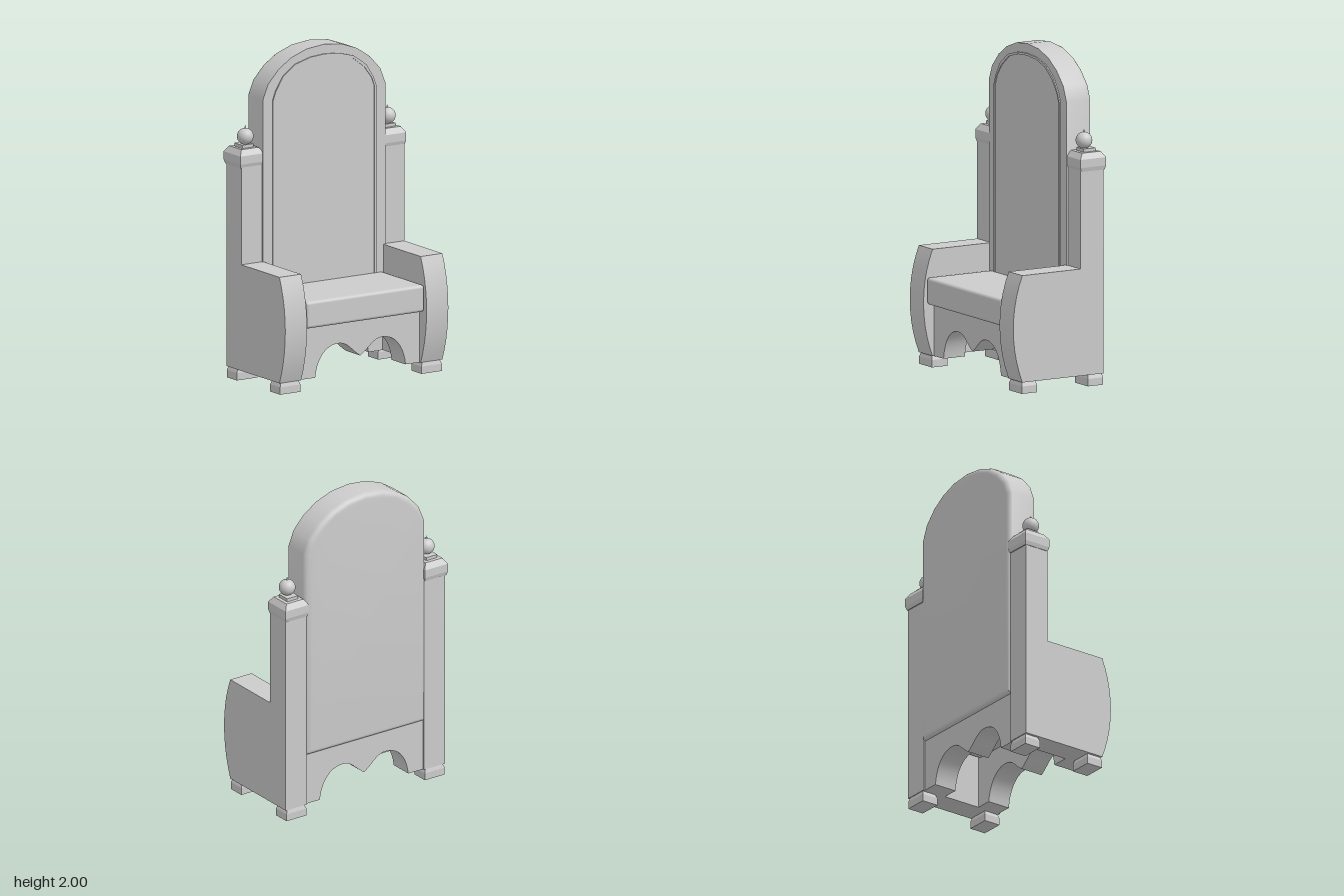
import * as THREE from 'three';
import { toCreasedNormals } from 'three/addons/utils/BufferGeometryUtils.js';
import { RoundedBoxGeometry } from 'three/addons/geometries/RoundedBoxGeometry.js';

const material = new THREE.MeshStandardMaterial({ color: 0xcccccc });

function part(parent, name, geometry, x = 0, y = 0, z = 0) {
  const mesh = new THREE.Mesh(geometry, material);
  mesh.name = name;
  mesh.position.set(x, y, z);
  parent.add(mesh);
  return mesh;
}

// Extrude a shape along z from z0 to z1 with sharp edges
function slab(shape, z0, z1) {
  const g = new THREE.ExtrudeGeometry(shape, { depth: z1 - z0, bevelEnabled: false, curveSegments: 10 });
  return toCreasedNormals(g.translate(0, 0, z0), 0.5);
}

// Square turned block from [halfWidth, y] levels
function squareLathe(levels, depthRatio = 1) {
  const g = new THREE.LatheGeometry(levels.map(([r, y]) => new THREE.Vector2(r * Math.SQRT2, y)), 4);
  return toCreasedNormals(g.rotateY(Math.PI / 4).scale(1, 1, depthRatio), 0.1);
}

// Mirror a half outline of [x, y] points (bottom to apex) into a closed loop
function arch(half) {
  const right = half.map(([x, y]) => new THREE.Vector2(x, y));
  const left = half.slice(0, -1).reverse().map(([x, y]) => new THREE.Vector2(-x, y));
  return [...right, ...left];
}

// Board with a double scalloped cut in its lower edge
function apronShape(top) {
  const s = new THREE.Shape();
  s.moveTo(-0.44, 0.07);
  s.lineTo(-0.325, 0.07);
  s.bezierCurveTo(-0.31, 0.2, -0.24, 0.26, -0.16, 0.26);
  s.bezierCurveTo(-0.09, 0.26, -0.07, 0.21, 0, 0.165);
  s.bezierCurveTo(0.07, 0.21, 0.09, 0.26, 0.16, 0.26);
  s.bezierCurveTo(0.24, 0.26, 0.31, 0.2, 0.325, 0.07);
  s.lineTo(0.44, 0.07);
  s.lineTo(0.44, top);
  s.lineTo(-0.44, top);
  return s;
}

// Tall arched back: sharp front edge, rounded rear edge
function backGeometry() {
  const r = 0.035, front = -0.14, rear = -0.322;
  const half = [[0.44, 0.39], [0.44, 1.74], [0.405, 1.82], [0.33, 1.895], [0.24, 1.95], [0.13, 1.987], [0, 2]];
  const outline = arch(half.map(([x, y]) => [x * (1 - r / 0.44), y === 0.39 ? y + r : y - r]));
  const g = new THREE.ExtrudeGeometry(new THREE.Shape(outline), {
    depth: front - rear - r, bevelSize: r, bevelThickness: r, bevelSegments: 5,
  });
  g.translate(0, 0, rear + r);
  const p = g.attributes.position;
  for (let i = 0; i < p.count; i++) p.setZ(i, Math.min(p.getZ(i), front));
  return toCreasedNormals(g, 0.5);
}

export function createModel() {
  const chair = new THREE.Group();
  chair.name = 'throneChair';

  part(chair, 'archedBack', backGeometry());

  // Inset panel and its raised bead
  const inset = (d) => arch([[0.372 - d, 0.45], [0.372 - d, 1.7], [0.352 - d, 1.755], [0.3 - d, 1.84 - d],
    [0.21 - d / 2, 1.905 - d], [0.1, 1.935 - d], [0, 1.942 - d]]);
  part(chair, 'backPanel', slab(new THREE.Shape(inset(0.01)), -0.145, -0.137));
  const bead = new THREE.Shape(inset(0));
  bead.holes.push(new THREE.Path(inset(0.014)));
  part(chair, 'panelBead', slab(bead, -0.145, -0.132));

  // Seat and scalloped aprons
  part(chair, 'seatCushion', new RoundedBoxGeometry(0.85, 0.165, 0.46, 4, 0.02), 0, 0.4725, 0.08);
  part(chair, 'frontApron', slab(apronShape(0.42), 0.1, 0.25));
  part(chair, 'rearApron', slab(apronShape(0.45), -0.3, -0.15));

  // Arm side profile, drawn with z along the shape's x axis
  const armShape = new THREE.Shape();
  armShape.moveTo(-0.16, 0.07);
  armShape.lineTo(0.26, 0.07);
  armShape.bezierCurveTo(0.345, 0.28, 0.345, 0.52, 0.26, 0.72);
  armShape.lineTo(-0.16, 0.72);

  for (const side of [1, -1]) {
    const group = new THREE.Group();
    group.name = side > 0 ? 'leftSide' : 'rightSide';
    group.position.x = side * 0.508 - 0.003;
    chair.add(group);

    part(group, 'arm', slab(armShape, -0.078, 0.078).rotateY(-Math.PI / 2));
    part(group, 'rearPost', new THREE.BoxGeometry(0.156, 1.27, 0.16), 0, 0.705, -0.23);
    part(group, 'postCap', squareLathe([[0, 1.31], [0.078, 1.31], [0.085, 1.335], [0.085, 1.385],
      [0.062, 1.42], [0.04, 1.42], [0.04, 1.44], [0, 1.44]], 1.06), side * 0.003, 0, -0.234);

    // Ball finial with a small tip
    part(group, 'finialBall', new THREE.SphereGeometry(0.05, 24, 16), side * 0.003, 1.486, -0.22);
    part(group, 'finialTip', new THREE.ConeGeometry(0.009, 0.026, 10), side * 0.003, 1.541, -0.22);

    for (const [name, z] of [['frontFoot', 0.207], ['rearFoot', -0.258]]) {
      part(group, name, squareLathe([[0, 0], [0.073, 0], [0.073, 0.045], [0.062, 0.072], [0, 0.072]], 0.74), 0, 0, z);
    }
  }
  return chair;
}
